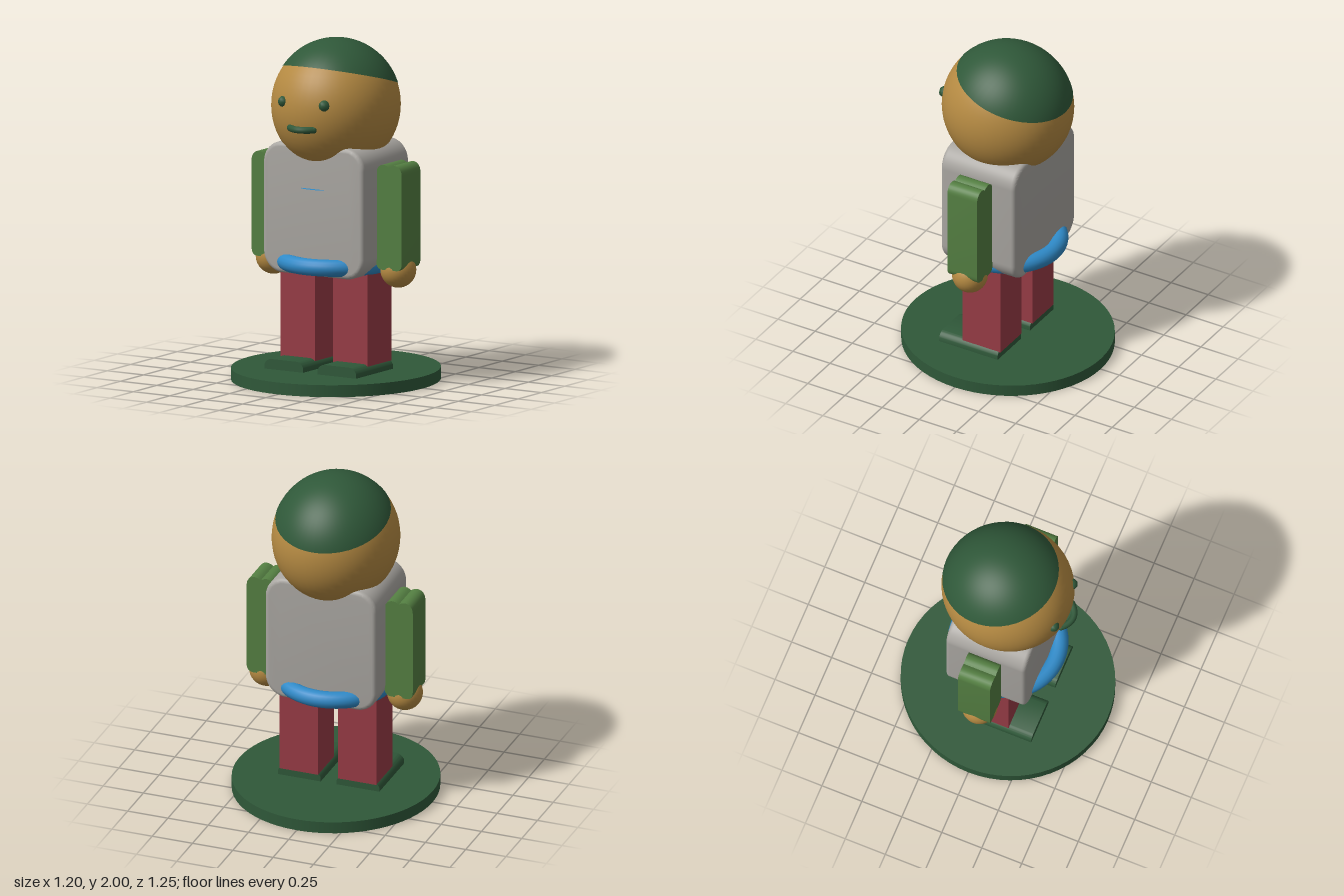
import * as THREE from 'three';
import { toCreasedNormals } from 'three/addons/utils/BufferGeometryUtils.js';

function material(name, color, extra = {}) {
  return new THREE.MeshStandardMaterial({ name, color, ...extra });
}

// Extrudes a front-facing outline so that it spans z0 to z1, bevel included.
function extrude(shape, z0, z1, bevel = 0) {
  const geo = new THREE.ExtrudeGeometry(shape, {
    depth: z1 - z0 - 2 * bevel, curveSegments: 10, bevelEnabled: bevel > 0,
    bevelSize: bevel, bevelThickness: bevel, bevelOffset: -bevel, bevelSegments: 4,
  });
  geo.translate(0, 0, z0 + bevel);
  return toCreasedNormals(geo, 0.6);
}

function roundedRect(x0, x1, y0, y1, r) {
  const s = new THREE.Shape();
  s.absarc(x1 - r, y0 + r, r, -Math.PI / 2, 0);
  s.absarc(x1 - r, y1 - r, r, 0, Math.PI / 2);
  s.absarc(x0 + r, y1 - r, r, Math.PI / 2, Math.PI);
  s.absarc(x0 + r, y0 + r, r, Math.PI, Math.PI * 1.5);
  s.closePath();
  return s;
}

// Sleeve outline with two soft bumps on top
function armOutline() {
  const w = 0.0875, top = 1.31, low = 0.69;
  const s = new THREE.Shape();
  s.moveTo(-w + 0.04, low);
  s.lineTo(w - 0.04, low);
  s.quadraticCurveTo(w, low, w, low + 0.05);
  s.lineTo(w, top - 0.06);
  s.bezierCurveTo(w, top - 0.01, 0.04, top + 0.015, 0, top - 0.018);
  s.bezierCurveTo(-0.04, top + 0.015, -w, top - 0.01, -w, top - 0.06);
  s.lineTo(-w, low + 0.05);
  s.quadraticCurveTo(-w, low, -w + 0.04, low);
  return s;
}

// Shoe outline with sloping upper edges
function shoeOutline() {
  const s = new THREE.Shape();
  s.moveTo(-0.133, 0.065);
  s.lineTo(0.133, 0.065);
  s.lineTo(0.133, 0.095);
  s.quadraticCurveTo(0.12, 0.125, 0.09, 0.13);
  s.lineTo(-0.09, 0.13);
  s.quadraticCurveTo(-0.12, 0.125, -0.133, 0.095);
  s.closePath();
  return s;
}

export function createModel() {
  const model = new THREE.Group();
  model.name = 'figurine';

  const skin = material('skin tan', 0xb58a42);
  const darkGreen = material('dark green', 0x2f5839);
  const grey = material('shirt grey', 0xa9a6a1);
  const red = material('trouser red', 0x983c46);
  const blue = material('belt blue', 0x2f8ac8, { side: THREE.DoubleSide });
  const green = material('sleeve green', 0x547f42);

  const add = (name, geo, mat, x = 0, y = 0, z = 0, parent = model) => {
    const mesh = new THREE.Mesh(geo, mat);
    mesh.name = name;
    mesh.position.set(x, y, z);
    parent.add(mesh);
    return mesh;
  };

  // Stand
  add('base', new THREE.CylinderGeometry(0.6, 0.6, 0.07, 64), darkGreen, 0, 0.035, 0).scale.z = 1.04;

  // Torso with belt ring and small chest flap
  add('torso', extrude(roundedRect(-0.345, 0.345, 0.637, 1.405, 0.125), -0.25, 0.25, 0.025), grey);
  const belt = add('belt', new THREE.TorusGeometry(0.3, 0.05, 16, 64), blue, 0, 0.7, 0);
  belt.rotation.x = Math.PI / 2;
  const flap = add('chestFlap', new THREE.CircleGeometry(1, 24), blue, 0, 1.15, 0.25);
  flap.rotation.x = -Math.PI / 2;
  flap.scale.set(0.08, 0.03, 1);

  // Head with a tilted cap of hair
  const head = new THREE.Group();
  head.name = 'headGroup';
  head.position.y = 1.61;
  head.scale.set(0.37, 0.387, 0.388);
  model.add(head);
  add('head', new THREE.SphereGeometry(1, 48, 32), skin, 0, 0, 0, head);
  const hair = add('hair', new THREE.SphereGeometry(1.008, 48, 20, 0, Math.PI * 2, 0, 1.11), darkGreen, 0, 0, 0, head);
  hair.rotation.x = -0.27;

  // Mouth, a bent rod with round ends
  const smile = new THREE.QuadraticBezierCurve3(
    new THREE.Vector3(-0.08, 1.52, 0.365),
    new THREE.Vector3(0, 1.52, 0.45),
    new THREE.Vector3(0.08, 1.52, 0.365));
  add('mouth', new THREE.TubeGeometry(smile, 20, 0.02, 10), darkGreen);

  for (const side of [1, -1]) {
    const label = side > 0 ? 'left' : 'right';
    // Face details
    add(label + 'Eye', new THREE.SphereGeometry(0.034, 8, 6), darkGreen, side * 0.14, 1.665, 0.343);
    add(label + 'MouthEnd', new THREE.SphereGeometry(0.02, 12, 8), darkGreen, side * 0.08, 1.52, 0.365);
    // Arm and hand
    add(label + 'Arm', extrude(armOutline(), -0.1, 0.1), green, side * 0.428, 0, 0);
    add(label + 'Hand', new THREE.SphereGeometry(0.104, 32, 20), skin, side * 0.428, 0.68, 0);
    // Leg and shoe
    add(label + 'Leg', new THREE.BoxGeometry(0.238, 0.585, 0.256), red, side * 0.181, 0.4075, 0);
    add(label + 'Shoe', extrude(shoeOutline(), -0.118, 0.275), darkGreen, side * 0.182, 0, 0);
  }
  return model;
}
